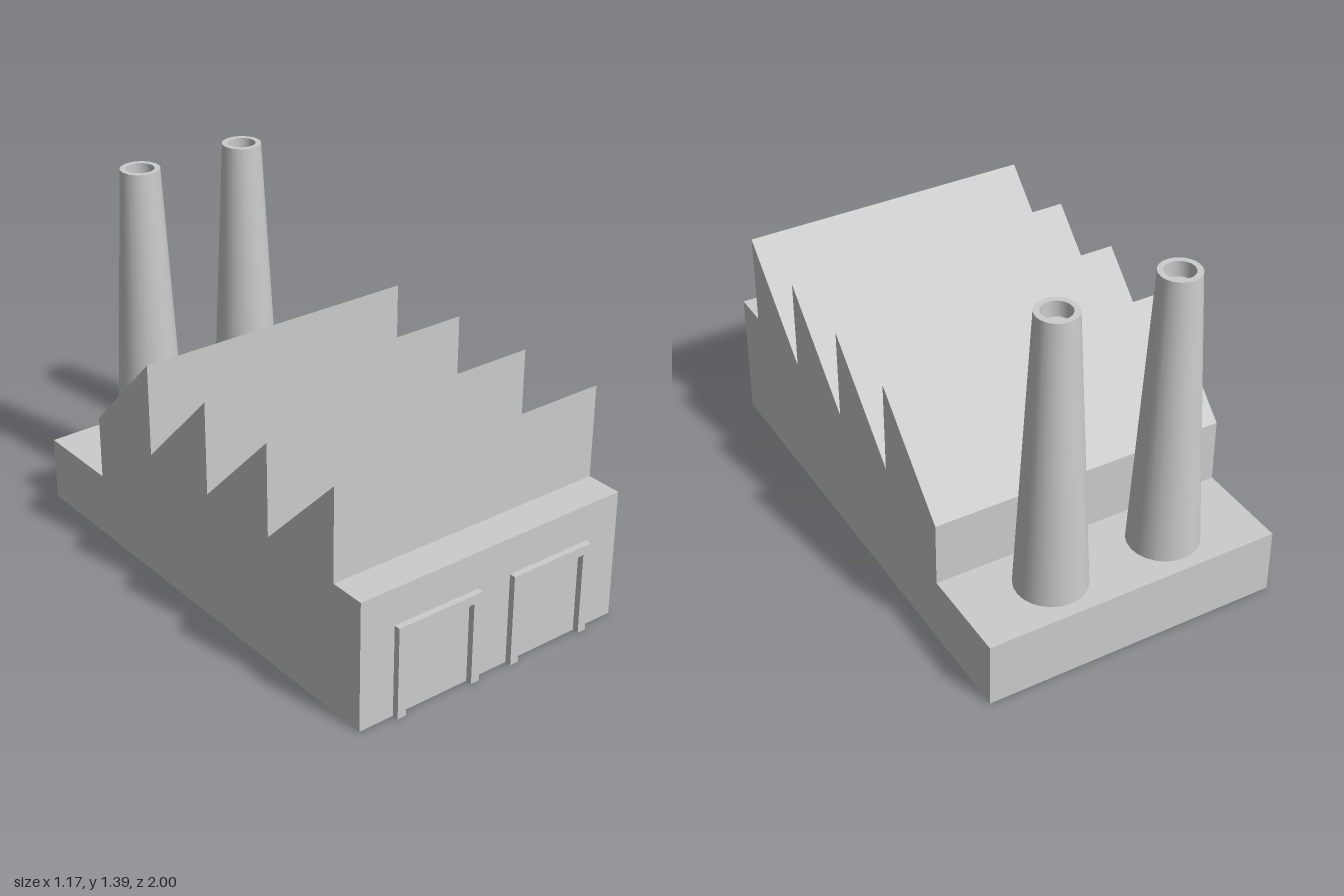
import * as THREE from 'three';
import { toCreasedNormals } from 'three/addons/utils/BufferGeometryUtils.js';

const material = new THREE.MeshStandardMaterial({ color: 0xcccccc });
const HALF_WIDTH = 0.585;
const FRONT = 0.975;

function addMesh(parent, name, geometry) {
  const mesh = new THREE.Mesh(geometry, material);
  mesh.name = name;
  parent.add(mesh);
  return mesh;
}

// Side profile (z, y) with a sawtooth roof, extruded across the width
function hallGeometry() {
  const eaves = 0.513, ridge = 0.88, pitch = 0.365, teeth = 4, roofFront = 0.832;
  const shape = new THREE.Shape();
  shape.moveTo(-1, 0);
  shape.lineTo(FRONT, 0);
  shape.lineTo(FRONT, eaves);
  shape.lineTo(roofFront, eaves);
  for (let i = 0; i < teeth; i++) {
    shape.lineTo(roofFront - i * pitch, ridge);
    shape.lineTo(roofFront - (i + 1) * pitch, eaves);
  }
  shape.lineTo(roofFront - teeth * pitch, 0.258);
  shape.lineTo(-1, 0.258);
  shape.closePath();
  return new THREE.ExtrudeGeometry(shape, { depth: 2 * HALF_WIDTH, bevelEnabled: false })
    .rotateY(-Math.PI / 2)
    .translate(HALF_WIDTH, 0, 0);
}

// Door surround: two jambs and a lintel in one outline
function doorFrameGeometry() {
  const w = 0.183, h = 0.366, t = 0.036;
  const shape = new THREE.Shape([
    [-w, 0], [-w + t, 0], [-w + t, h - t], [w - t, h - t],
    [w - t, 0], [w, 0], [w, h], [-w, h],
  ].map(([x, y]) => new THREE.Vector2(x, y)));
  return new THREE.ExtrudeGeometry(shape, { depth: 1 - FRONT, bevelEnabled: false });
}

// Tapered stack with a recessed mouth
function chimneyGeometry() {
  const profile = [
    [0.135, 0.258], [0.077, 1.39], [0.055, 1.39], [0.055, 1.33], [0, 1.33],
  ].map(([r, y]) => new THREE.Vector2(r, y));
  return toCreasedNormals(new THREE.LatheGeometry(profile, 24), Math.PI / 6);
}

export function createModel() {
  const factory = new THREE.Group();
  factory.name = 'factory';

  addMesh(factory, 'hall', hallGeometry());

  const frame = doorFrameGeometry();
  const chimney = chimneyGeometry();
  for (const [side, s] of [['left', 1], ['right', -1]]) {
    addMesh(factory, side + 'DoorFrame', frame).position.set(s * 0.257, 0, FRONT);
    addMesh(factory, side + 'Chimney', chimney).position.set(s * 0.235, 0, -0.815);
  }
  return factory;
}
